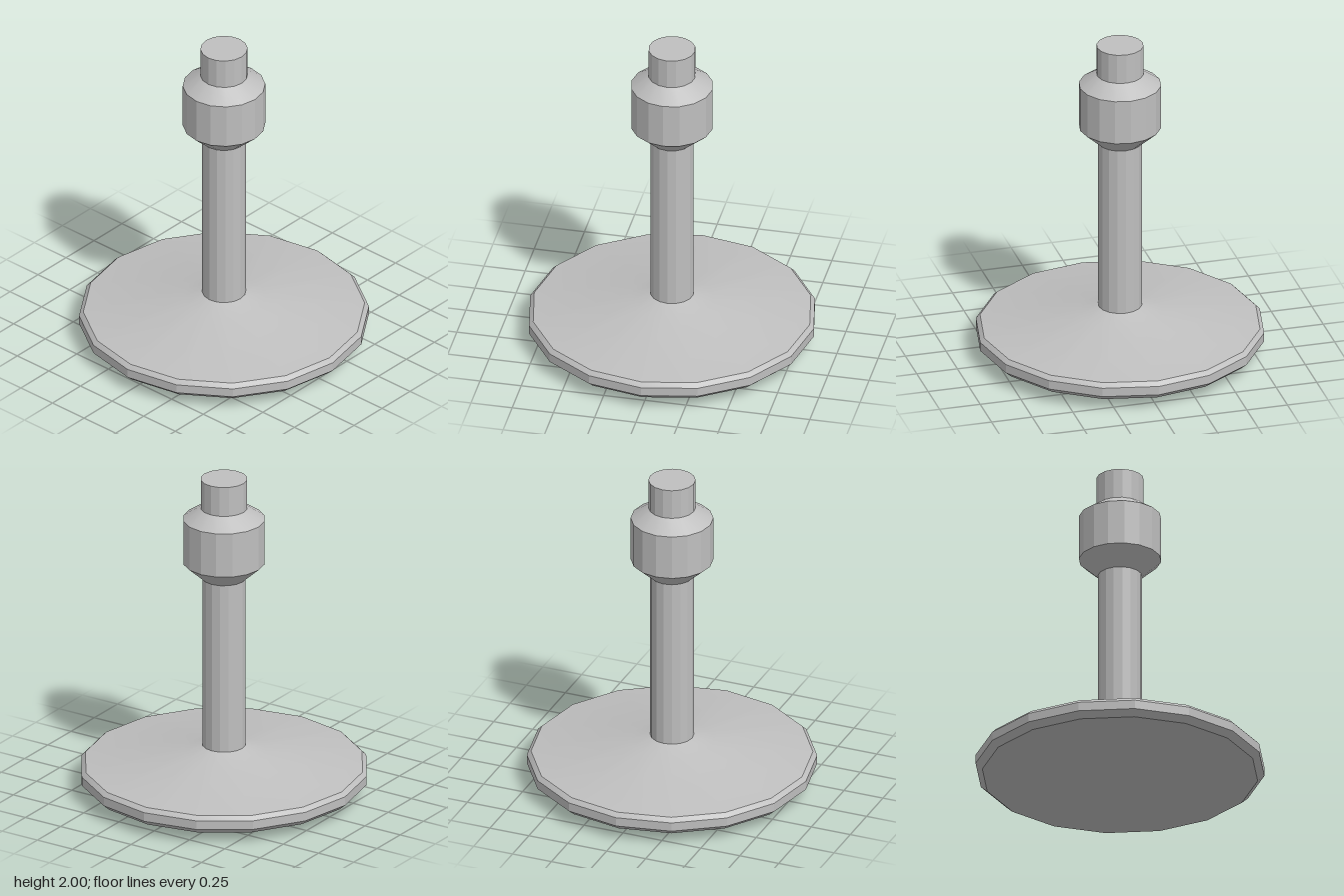
import * as THREE from 'three';
import { toCreasedNormals } from 'three/addons/utils/BufferGeometryUtils.js';

const SIDES = 16;
const CREASE = 0.35; // keeps the 16 wall facets sharp, blends the shallow dish

export function createModel() {
  const model = new THREE.Group();
  model.name = 'pedestal';
  const grey = new THREE.MeshStandardMaterial({ color: 0xbfbfbf });
  grey.name = 'grey';

  // Turned part from [radius, height] points, listed bottom to top
  const turned = (name, profile) => {
    const points = profile.map(([r, y]) => new THREE.Vector2(r, y));
    const geometry = toCreasedNormals(new THREE.LatheGeometry(points, SIDES), CREASE);
    const mesh = new THREE.Mesh(geometry, grey);
    mesh.name = name;
    model.add(mesh);
  };

  // Wide foot: shallow dished underside, bevelled rim, sloping top
  turned('base', [
    [0, 0], [0.33, 0.005], [0.55, 0.033], [0.69, 0.065], [0.82, 0.065],
    [0.86, 0.1], [0.86, 0.155], [0.835, 0.18], [0.25, 0.26], [0.13, 0.296],
  ]);

  // Straight post
  turned('column', [[0.13, 0.296], [0.13, 1.365]]);

  // Thick ring with tapered ends
  turned('collar', [[0.13, 1.365], [0.245, 1.468], [0.245, 1.745], [0.14, 1.815]]);

  // Closed stub on top
  turned('topStub', [[0.14, 1.815], [0.14, 2], [0, 2]]);

  return model;
}
